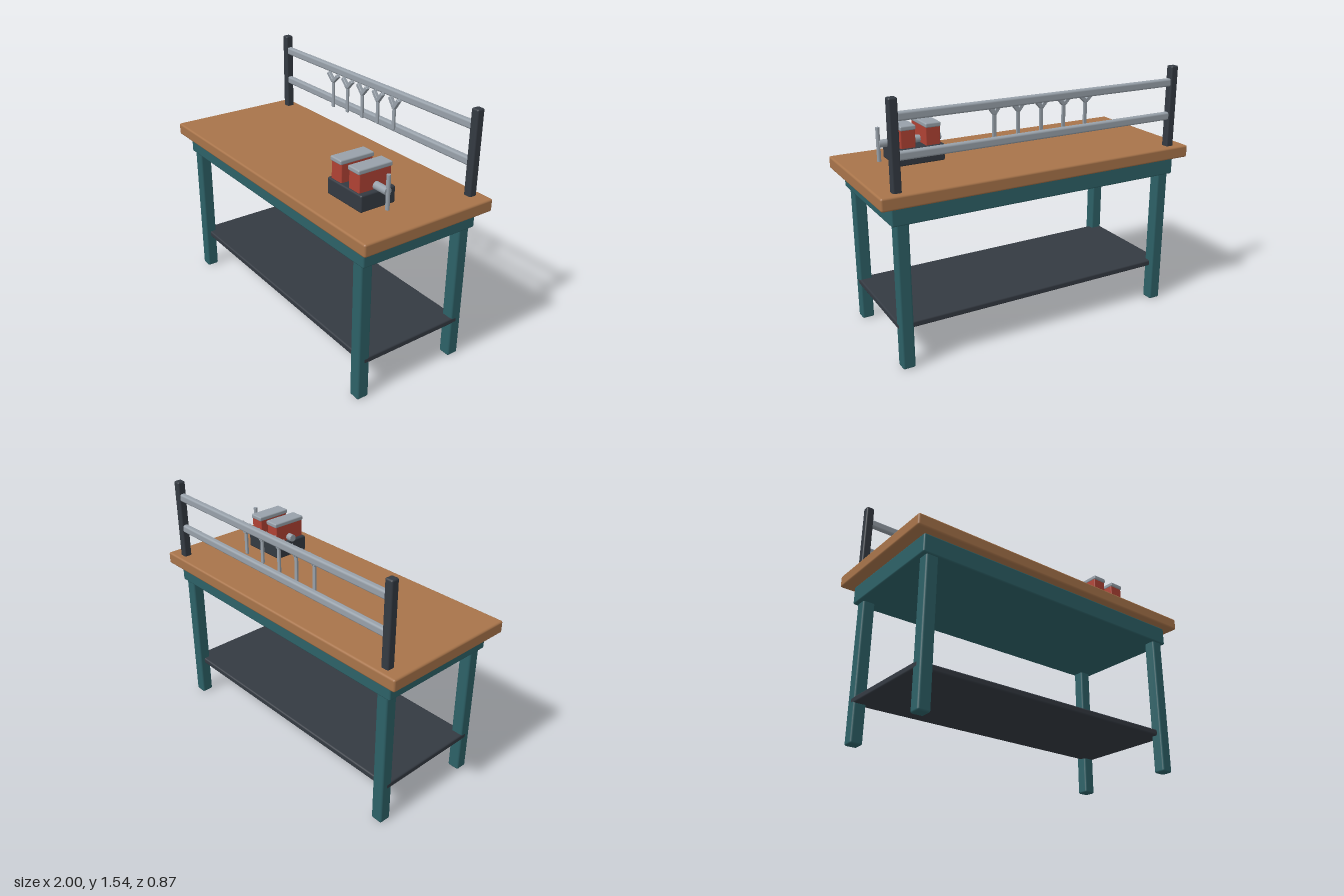
import * as THREE from 'three';
import { RoundedBoxGeometry } from 'three/addons/geometries/RoundedBoxGeometry.js';

function material(name, color) {
  const m = new THREE.MeshStandardMaterial({ color });
  m.name = name;
  return m;
}

export function createModel() {
  const wood = material('wood', 0xa8744a);
  const teal = material('teal paint', 0x2d6167);
  const dark = material('dark iron', 0x343a42);
  const steel = material('steel', 0x98a1aa);
  const red = material('red paint', 0xb04234);

  const bench = new THREE.Group();
  bench.name = 'workbench';

  function add(parent, name, geometry, mat, x, y, z) {
    const mesh = new THREE.Mesh(geometry, mat);
    mesh.name = name;
    mesh.position.set(x, y, z);
    parent.add(mesh);
    return mesh;
  }
  const box = (w, h, d, r = 0.01) => new RoundedBoxGeometry(w, h, d, 2, r);
  function group(name) {
    const g = new THREE.Group();
    g.name = name;
    bench.add(g);
    return g;
  }

  // Table: top, solid apron, legs and lower shelf
  add(bench, 'tabletop', box(2, 0.075, 0.87, 0.012), wood, 0, 1.008, 0);
  add(bench, 'apron', box(1.86, 0.115, 0.77), teal, 0, 0.917, 0);
  for (const x of [-0.867, 0.867]) {
    for (const z of [-0.338, 0.338]) {
      add(bench, 'leg', box(0.075, 0.88, 0.075, 0.012), teal, x, 0.44, z);
    }
  }
  add(bench, 'shelf', box(1.81, 0.038, 0.69), dark, 0, 0.25, 0);

  // Tool rack along the back edge
  const rack = group('toolRack');
  for (const x of [-0.892, 0.892]) {
    add(rack, 'rackPost', box(0.05, 0.52, 0.05), dark, x, 1.28, -0.37);
  }
  for (const y of [1.235, 1.44]) {
    add(rack, 'rackRail', box(1.77, 0.048, 0.038, 0.012), steel, 0, y, -0.37);
  }

  // Row of open-ended wrenches, each a little smaller than the last
  for (let i = 0; i < 5; i++) {
    const s = 1 - i * 0.06;
    const wrench = group('wrench');
    wrench.position.set(-0.297 + i * 0.148, 1.38, -0.323);
    const length = 0.17 - i * 0.008;
    add(wrench, 'wrenchShaft', box(0.022, length, 0.014, 0.004), steel, 0, -length / 2, 0);
    for (const side of [-1, 1]) {
      const prong = add(wrench, 'wrenchProng', box(0.024, 0.07, 0.024, 0.004), steel, side * 0.025 * s, 0.024, 0);
      prong.rotation.z = -side * (0.82 - i * 0.05);
    }
  }

  // Vise: base, two capped jaws, screw and handle
  const vise = group('vise');
  vise.position.z = 0.135;
  add(vise, 'viseBase', box(0.295, 0.1, 0.23), dark, 0.582, 1.095, 0);
  for (const x of [0.502, 0.655]) {
    add(vise, 'viseJaw', box(0.09, 0.12, 0.21, 0.006), red, x, 1.195, 0);
    add(vise, 'jawCap', box(0.095, 0.028, 0.225, 0.008), steel, x, 1.262, 0);
  }
  const screw = add(vise, 'viseScrew', new THREE.CylinderGeometry(0.023, 0.023, 0.38, 16), steel, 0.607, 1.165, -0.005);
  screw.rotation.z = Math.PI / 2;
  add(vise, 'viseHandle', new THREE.CylinderGeometry(0.012, 0.012, 0.2, 12), steel, 0.797, 1.162, -0.005);

  return bench;
}
